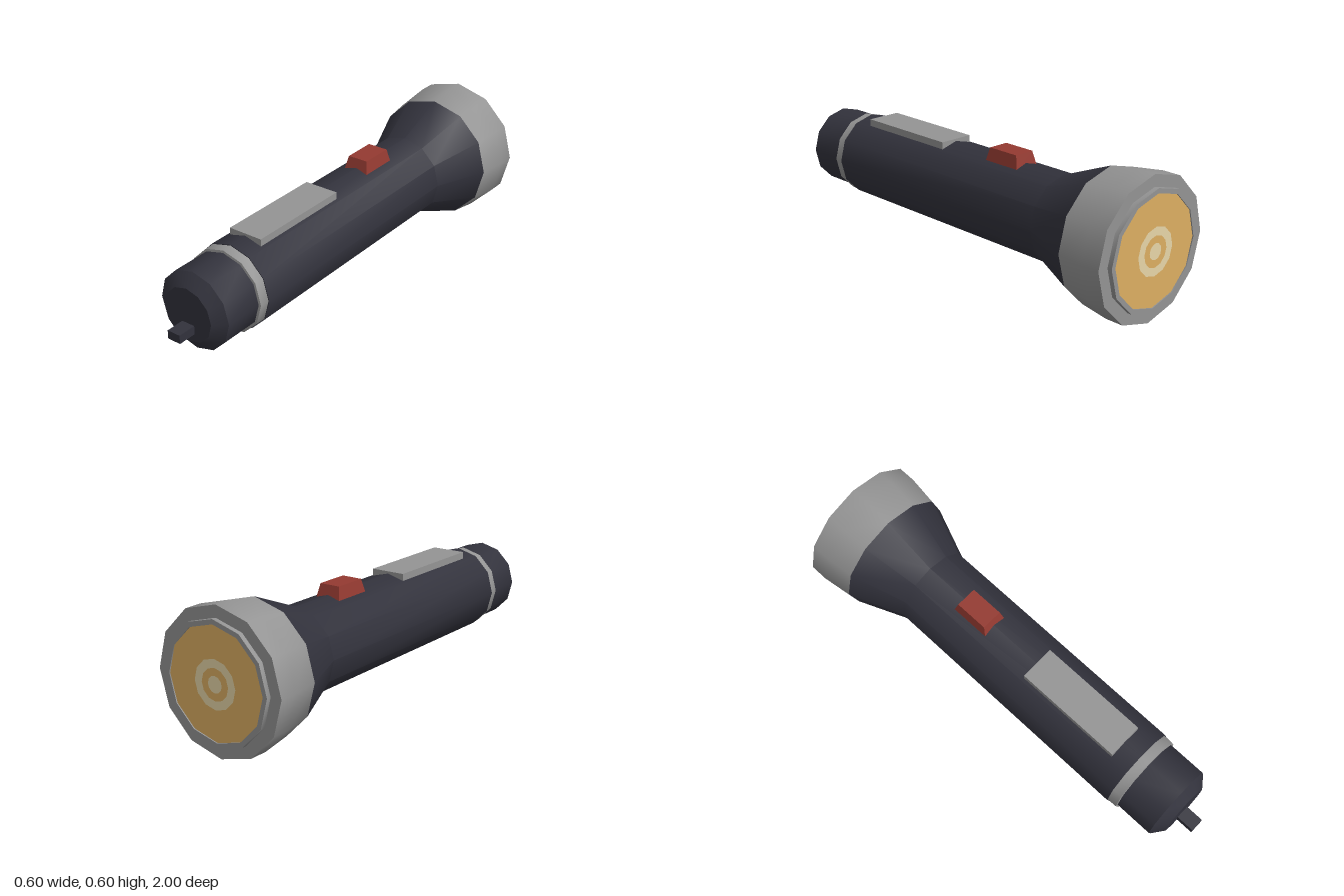
import * as THREE from 'three';
import { toCreasedNormals } from 'three/addons/utils/BufferGeometryUtils.js';

const SIDES = 12;
const AXIS_Y = 0.3;

const paint = (name, color) => {
  const m = new THREE.MeshStandardMaterial({ color });
  m.name = name;
  return m;
};

export function createModel() {
  const dark = paint('darkCasing', 0x32323c);
  const grey = paint('greyMetal', 0x949494);
  const red = paint('redSwitch', 0x943a31);
  const amber = paint('amberLens', 0xdcae62);
  const pale = paint('paleBulb', 0xe8d6a8);

  const group = new THREE.Group();
  group.name = 'flashlight';

  const add = (name, geometry, material, x = 0, y = 0, z = 0) => {
    const mesh = new THREE.Mesh(geometry, material);
    mesh.name = name;
    mesh.position.set(x, y, z);
    group.add(mesh);
    return mesh;
  };

  // Turned part along z from [radius, z] pairs, listed from the lens to the tail
  const turned = (name, profile, material) => {
    const points = profile.map(([r, z]) => new THREE.Vector2(r, z));
    const geometry = new THREE.LatheGeometry(points, SIDES).rotateX(Math.PI / 2);
    return add(name, toCreasedNormals(geometry, 0.6), material, 0, AXIS_Y, 0);
  };

  // Flat part facing -z
  const facing = (name, geometry, material, z) =>
    add(name, geometry.rotateZ(Math.PI / 2).rotateY(Math.PI), material, 0, AXIS_Y, z);

  // Head rim with raised bezel
  turned('headRim', [
    [0.23, -0.994], [0.23, -1], [0.25, -1], [0.25, -0.98], [0.3, -0.98],
    [0.3, -0.9], [0.282, -0.77],
  ], grey);

  // Lens and bulb
  facing('lens', new THREE.CircleGeometry(0.232, SIDES), amber, -0.995);
  facing('bulbRing', new THREE.RingGeometry(0.065, 0.1, SIDES), pale, -0.999);
  facing('bulb', new THREE.CircleGeometry(0.034, SIDES), pale, -0.999);

  // Flared neck and barrel
  turned('barrel', [[0.282, -0.77], [0.185, -0.53], [0.185, 0.665], [0.165, 0.665]], dark);

  // Tail ring and cap
  turned('tailRing', [[0.17, 0.66], [0.182, 0.66], [0.18, 0.708], [0.165, 0.71]], grey);
  turned('tailCap', [[0.17, 0.69], [0.17, 0.88], [0.117, 0.92], [0, 0.92]], dark);

  // Tail tab
  add('tailTab', new THREE.BoxGeometry(0.06, 0.037, 0.1), dark, 0, 0.244, 0.95);

  // Grip plate
  add('gripPlate', new THREE.BoxGeometry(0.156, 0.035, 0.486), grey, 0, 0.4775, 0.335);

  // Switch: a box narrowed at the top
  const key = new THREE.BoxGeometry(0.116, 0.06, 0.18);
  const p = key.attributes.position;
  for (let i = 0; i < p.count; i++) {
    if (p.getY(i) > 0) {
      p.setX(i, p.getX(i) * 0.8);
      p.setZ(i, p.getZ(i) * 0.83);
    }
  }
  key.computeVertexNormals();
  add('switch', key, red, 0, 0.495, -0.24);

  return group;
}
